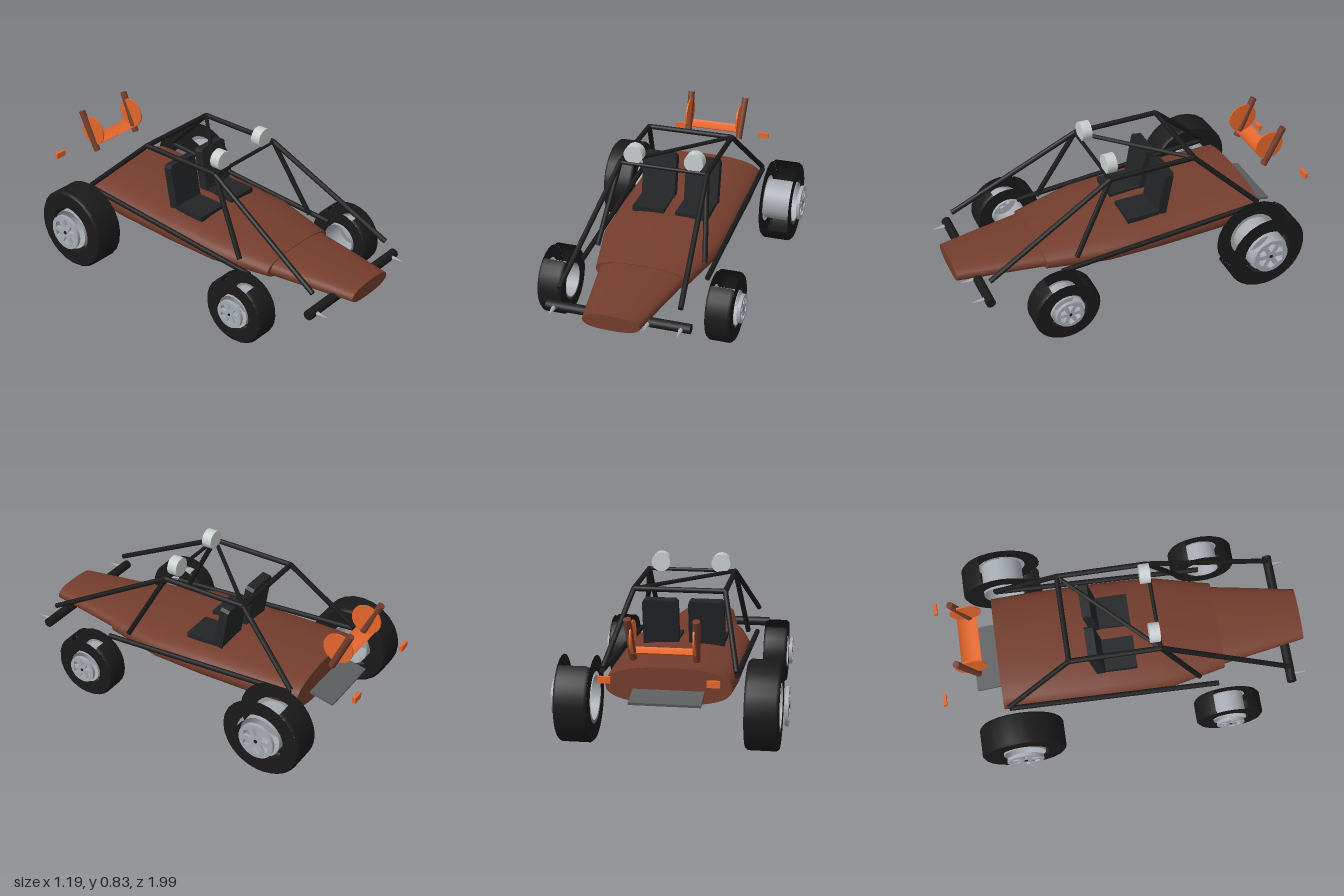
import * as THREE from 'three';

const mat = (name, color, side = THREE.FrontSide) => {
  const m = new THREE.MeshStandardMaterial({ color, side });
  m.name = name;
  return m;
};
const M = {
  body: mat('rust brown', 0x743d2d),
  tube: mat('black tube', 0x1b1b1c),
  seat: mat('seat black', 0x222425),
  tire: mat('tire black', 0x1a1a1a, THREE.DoubleSide),
  rim: mat('rim silver', 0xa6aab2, THREE.DoubleSide),
  lamp: mat('lamp glass', 0xc6cecd),
  orange: mat('orange', 0xe4662c, THREE.DoubleSide),
  plate: mat('plate grey', 0x5c5e60),
};

function add(parent, name, geo, material, x = 0, y = 0, z = 0) {
  const mesh = new THREE.Mesh(geo, material);
  mesh.name = name;
  mesh.position.set(x, y, z);
  parent.add(mesh);
  return mesh;
}

// straight round bar between two points
function bar(parent, name, a, b, r, material = M.tube) {
  const p = new THREE.Vector3(...a), q = new THREE.Vector3(...b);
  const d = q.clone().sub(p);
  const mesh = add(parent, name, new THREE.CylinderGeometry(r, r, d.length(), 10), material);
  mesh.position.copy(p).add(q).multiplyScalar(0.5);
  mesh.quaternion.setFromUnitVectors(new THREE.Vector3(0, 1, 0), d.normalize());
  return mesh;
}

// hull through rounded cross-sections [z, halfWidth, bottom, top], front to back
function hull(stations, power = 2.5, n = 32) {
  const pos = [], idx = [];
  const ring = ([z, w, y0, y1]) => {
    for (let j = 0; j < n; j++) {
      const t = (j / n) * Math.PI * 2, c = Math.cos(t), s = Math.sin(t);
      pos.push(w * Math.sign(c) * Math.abs(c) ** (2 / power),
        (y0 + y1) / 2 + ((y1 - y0) / 2) * Math.sign(s) * Math.abs(s) ** (2 / power), z);
    }
  };
  stations.forEach(ring);
  for (let i = 0; i < stations.length - 1; i++) {
    for (let j = 0; j < n; j++) {
      const a = i * n + j, b = i * n + (j + 1) % n;
      idx.push(a, a + n, b, b, a + n, b + n);
    }
  }
  // flat end caps
  [stations[0], stations[stations.length - 1]].forEach((s, end) => {
    const base = pos.length / 3;
    ring(s);
    pos.push(0, (s[2] + s[3]) / 2, s[0]);
    for (let j = 0; j < n; j++) {
      const a = base + j, b = base + (j + 1) % n;
      idx.push(base + n, end ? b : a, end ? a : b);
    }
  });
  const g = new THREE.BufferGeometry();
  g.setAttribute('position', new THREE.Float32BufferAttribute(pos, 3));
  g.setIndex(idx);
  g.computeVertexNormals();
  return g;
}

// ring of revolution about the x axis from [radius, x] points
function turned(points, sides, start = 0, length = Math.PI * 2) {
  const g = new THREE.LatheGeometry(points.map(p => new THREE.Vector2(...p)), sides, start, length);
  return g.rotateZ(-Math.PI / 2);
}

// tire with an open centre, loose barrel and a spoked hex cap outboard of it
function wheel(name, side, s) {
  const g = new THREE.Group();
  g.name = name;
  const { r, inner, w, barrel, cap, capX, gap } = s, h = w / 2, e = r - 0.012;
  for (const k of [-1, 1]) {
    add(g, 'tireSidewall', turned([[inner, k * h], [e, k * h]], 24), M.tire);
  }
  add(g, 'tireTread', turned([[e, -h], [r, -h + 0.014], [r, h - 0.014], [e, h]], 24,
    gap[1], Math.PI * 2 - (gap[1] - gap[0])), M.tire);
  add(g, 'rimBarrel', turned([[barrel, -h], [barrel, h]], 28), M.rim);

  const disc = new THREE.Shape().absarc(0, 0, cap, 0, Math.PI * 2);
  const hole = new THREE.Path();
  for (let i = 0; i < 6; i++) {
    const a = (i * Math.PI) / 3 + Math.PI / 6, q = cap * 0.82;
    hole[i ? 'lineTo' : 'moveTo'](Math.cos(a) * q, Math.sin(a) * q);
  }
  hole.closePath();
  disc.holes.push(hole);
  const capGroup = new THREE.Group();
  capGroup.name = 'rimCap';
  capGroup.position.x = side * capX;
  g.add(capGroup);
  add(capGroup, 'capRing', new THREE.ExtrudeGeometry(disc, { depth: 0.018, bevelEnabled: false, curveSegments: 16 })
    .translate(0, 0, -0.009).rotateY(Math.PI / 2), M.rim);
  add(capGroup, 'capHub', new THREE.CylinderGeometry(cap * 0.3, cap * 0.3, 0.016, 12).rotateZ(Math.PI / 2), M.rim);
  for (let i = 0; i < 6; i++) {
    add(capGroup, 'capSpoke', new THREE.BoxGeometry(0.014, cap * 0.72, cap * 0.26)
      .translate(0, cap * 0.48, 0).rotateX((i * Math.PI) / 3 + Math.PI / 6), M.rim);
  }
  add(capGroup, 'capBolt', new THREE.CylinderGeometry(cap * 0.1, cap * 0.1, 0.022, 8).rotateZ(Math.PI / 2), M.tire);
  return g;
}

export function createModel() {
  const car = new THREE.Group();
  car.name = 'buggy';

  // body shell
  add(car, 'nose', hull([[0.99, 0.148, 0.245, 0.328], [0.75, 0.19, 0.24, 0.34], [0.53, 0.228, 0.235, 0.348]]), M.body);
  add(car, 'mainBody', hull([[0.53, 0.25, 0.235, 0.352], [0.2, 0.325, 0.22, 0.393], [-0.1, 0.332, 0.217, 0.412],
    [-0.45, 0.33, 0.225, 0.425], [-0.69, 0.318, 0.24, 0.43]]), M.body);
  add(car, 'rearPlate', new THREE.BoxGeometry(0.36, 0.014, 0.14), M.plate, 0, 0.295, -0.755).rotation.x = -0.2;

  // wheels; some treads are open over part of their arc
  const top = -Math.PI / 2;
  const front = { r: 0.182, inner: 0.102, w: 0.13, barrel: 0.09, cap: 0.076, capX: 0.085, gap: [top - 0.5, top + 0.5] };
  const rear = { r: 0.228, inner: 0.134, w: 0.168, barrel: 0.114, cap: 0.1, capX: 0.115 };
  for (const side of [-1, 1]) {
    const label = side > 0 ? 'Left' : 'Right';
    const f = wheel('front' + label + 'Wheel', side, front);
    f.position.set(side * 0.449, 0.19, 0.52);
    const b = wheel('rear' + label + 'Wheel', side, { ...rear, gap: side > 0 ? [-2.09, 0.44] : [0, 0] });
    b.position.set(side * 0.47, 0.235, -0.615);
    car.add(f, b);
  }

  // seats
  for (const x of [-0.125, 0.12]) {
    const seat = new THREE.Group();
    seat.name = 'seat';
    car.add(seat);
    add(seat, 'seatCushion', new THREE.BoxGeometry(0.18, 0.03, 0.18), M.seat, x, 0.407, -0.04);
    const s = new THREE.Shape();
    s.moveTo(-0.095, -0.125).lineTo(0.095, -0.125).lineTo(0.095, 0.11).lineTo(0.082, 0.125)
      .lineTo(-0.082, 0.125).lineTo(-0.095, 0.11);
    add(seat, 'seatBack', new THREE.ExtrudeGeometry(s, { depth: 0.05, bevelEnabled: false })
      .translate(0, 0, -0.025), M.seat, x, 0.528, -0.167).rotation.x = -0.17;
  }

  // roll cage
  const cage = new THREE.Group();
  cage.name = 'rollCage';
  car.add(cage);
  const R = 0.014, Y = 0.735, X = 0.238;
  for (const k of [-1, 1]) {
    bar(cage, 'roofRail', [k * X, Y, 0.165], [k * X, Y, -0.315], R);
    bar(cage, 'frontStrut', [k * X, Y, 0.165], [k * 0.315, 0.355, 0.865], R);
    bar(cage, 'doorStrut', [k * X, Y, 0.165], [k * 0.295, 0.34, 0.38], R);
    bar(cage, 'rearStrut', [k * X, Y, -0.315], [k * 0.335, 0.41, -0.66], R);
    bar(cage, 'sideBar', [k * 0.338, 0.31, 0.48], [k * 0.338, 0.395, -0.66], 0.014);
  }
  bar(cage, 'rearRoofBar', [-X, Y, -0.315], [X, Y, -0.315], R);
  bar(cage, 'frontRoofBar', [-X, Y, 0.165], [X, Y, 0.165], 0.01);
  bar(cage, 'roofDiagonal', [X, Y, -0.315], [-X, Y, 0.165], 0.011);

  // roof lamps
  for (const k of [-1, 1]) {
    add(car, 'roofLamp', new THREE.CylinderGeometry(0.052, 0.052, 0.055, 28).rotateX(Math.PI / 2),
      M.lamp, k * 0.165, 0.785, 0.14);
  }

  // bumper with studs
  bar(car, 'frontBumper', [-0.375, 0.263, 0.885], [0.375, 0.263, 0.885], 0.026);
  for (const x of [-0.33, 0.16, 0.33]) {
    add(car, 'bumperStud', new THREE.ConeGeometry(0.014, 0.08, 6).rotateX(Math.PI / 2), M.rim, x, 0.263, 0.94);
  }

  // engine trough, end discs, exhausts and tail lights
  const ey = 0.62, ez = -0.82;
  add(car, 'engineTrough', new THREE.CylinderGeometry(0.083, 0.083, 0.31, 12, 1, true, Math.PI / 2 - 0.7, 1.4)
    .rotateZ(-Math.PI / 2), M.orange, 0, ey, ez);
  for (const k of [-1, 1]) {
    add(car, 'engineDisc', new THREE.CylinderGeometry(0.083, 0.083, 0.008, 28).rotateZ(Math.PI / 2),
      M.orange, k * 0.152, ey, ez);
    bar(car, 'exhaustPipe', [k * 0.155, 0.505, -0.792], [k * 0.165, 0.725, -0.89], 0.019, M.body);
    add(car, 'tailLight', new THREE.BoxGeometry(0.062, 0.032, 0.018), M.orange, k * 0.26, 0.453, -0.991);
  }
  return car;
}
